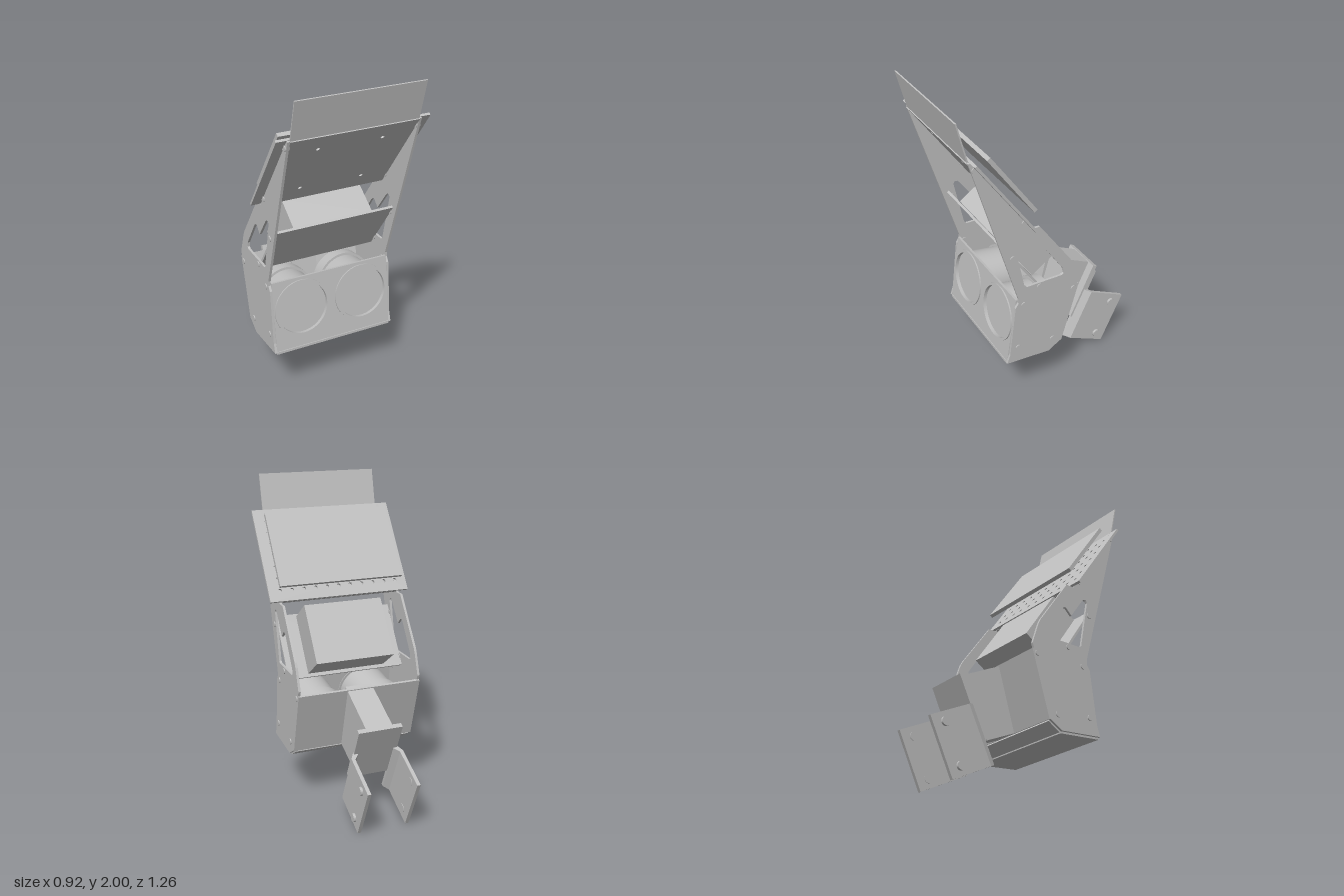
import * as THREE from 'three';
import { toCreasedNormals } from 'three/addons/utils/BufferGeometryUtils.js';

const metal = new THREE.MeshStandardMaterial({ color: 0xc0c0c0 });
metal.name = 'plain grey metal';

export function createModel() {
  const model = new THREE.Group();
  model.name = 'headUnit';

  const add = (name, geometry, parent = model) => {
    const mesh = new THREE.Mesh(geometry, metal);
    mesh.name = name;
    parent.add(mesh);
    return mesh;
  };
  const shapeOf = (pts) => new THREE.Shape(pts.map(([a, b]) => new THREE.Vector2(a, b)));
  const hole = (x, y, r) => {
    const path = new THREE.Path();
    path.absarc(x, y, r, 0, Math.PI * 2, true);
    return path;
  };
  const extrude = (shape, depth, curveSegments = 10) =>
    new THREE.ExtrudeGeometry(shape, { depth, bevelEnabled: false, curveSegments });

  // Side profile given as [z, y] points, extruded between x0 and x1
  const sideExtrude = (shape, x0, x1) =>
    extrude(shape, x1 - x0).rotateY(-Math.PI / 2).translate(x1, 0, 0);

  // Sloping sheet from a to b ([z, y] points); holes are [x, distance from a, radius]
  const sheet = (name, width, a, b, from, to, holes = [], segments = 10) => {
    const dz = b[0] - a[0], dy = b[1] - a[1], len = Math.hypot(dz, dy), w = width / 2;
    const shape = shapeOf([[-w, 0], [w, 0], [w, len], [-w, len]]);
    holes.forEach(([x, s, r]) => shape.holes.push(hole(x, s, r)));
    const mesh = add(name, extrude(shape, to - from, segments).translate(0, 0, from));
    mesh.position.set(0, a[1], a[0]);
    mesh.rotation.x = Math.atan2(dz, dy);
    return mesh;
  };

  // Side plates with a notched window
  const outline = shapeOf([
    [0.575, 1.77], [0.55, 1.78], [0.205, 1.26], [0.15, 1.26], [-0.06, 0.965], [-0.075, 0.935],
    [-0.122, 0.8], [-0.11, 0.765], [0, 0.37], [0.08, 0.32], [0.37, 0.34], [0.35, 0.4],
    [0.31, 0.74], [0.29, 0.77], [0.29, 0.8]]);
  outline.holes.push(new THREE.Path([
    [0.312, 1.185], [0.305, 1.2], [0.285, 1.2], [0.27, 1.185], [0.18, 1.06], [0.14, 1.1],
    [0.125, 1.1], [0.105, 1.085], [-0.012, 0.91], [-0.015, 0.88], [0, 0.87], [0.235, 0.87],
    [0.25, 0.88]].map(([z, y]) => new THREE.Vector2(z, y))));
  add('leftSidePlate', sideExtrude(outline, 0.385, 0.4));
  add('rightSidePlate', sideExtrude(outline, -0.4, -0.385));

  // Bolt heads on both sides
  const bolts = (name, points, r, x0, x1) => points.forEach(([z, y]) => [-1, 1].forEach((side) => {
    const geo = toCreasedNormals(new THREE.CylinderGeometry(r, r, x1 - x0, 20), 0.6);
    const bolt = add(name, geo.rotateZ(Math.PI / 2));
    bolt.position.set(side * (x0 + x1) / 2, y, z);
  }));
  bolts('sideBolt', [[0.54, 1.725], [0.25, 1.315], [0.325, 1.1], [0.15, 0.845], [0.255, 0.75],
    [-0.085, 0.745], [0.295, 0.44], [0.055, 0.41]], 0.018, 0.38, 0.406);

  // Upper panels: perforated wide panel, inner panel, raised plate and visor
  const perforations = [];
  for (let row = 0; row < 7; row++)
    for (let col = -5; col <= 5; col++) perforations.push([col * 0.077, 0.07 + row * 0.0768, 0.012]);
  sheet('perforatedPanel', 0.92, [0.197, 1.278], [0.555, 1.785], 0, 0.015, perforations, 5);
  const screws = [];
  [-0.195, 0.195].forEach((x) => [0.12, 0.505].forEach((s) => screws.push([x, s, 0.011])));
  sheet('innerPanel', 0.77, [0.197, 1.278], [0.555, 1.785], 0.016, 0.03, screws);
  sheet('raisedPlate', 0.81, [0.169, 1.38], [0.451, 1.778], 0, 0.024);
  sheet('visor', 0.77, [0.572, 1.76], [0.63, 2], -0.008, 0);

  // Middle panel with a case behind it
  sheet('middlePanel', 0.77, [0.108, 0.8], [0.345, 1.146], 0, 0.015);
  sheet('rearCase', 0.51, [0.115, 0.82], [0.333, 1.133], -0.2, 0);

  // Lower housing
  sheet('frontPlate', 0.77, [0.365, 0.345], [0.3, 0.785], -0.015, 0,
    [[-0.2, 0.248, 0.178], [0.2, 0.248, 0.178]], 32);
  sheet('floorPlate', 0.77, [0.08, 0.322], [0.368, 0.342], -0.015, 0).scale.z = -1;
  model.children.at(-1).position.y += 0.001;
  sheet('floorBend', 0.77, [0.002, 0.372], [0.08, 0.322], 0, 0.012);
  sheet('backPlate', 0.8, [0.002, 0.372], [-0.112, 0.77], -0.012, 0.004);

  // Twin round lamps
  const profile = [[0, -0.3], [0.18, -0.3], [0.18, -0.22], [0.165, -0.22], [0.165, -0.02],
    [0.18, -0.02], [0.18, 0.008], [0.163, 0.008], [0.163, -0.014], [0, -0.014]];
  [-0.2, 0.2].forEach((x) => {
    const geo = new THREE.LatheGeometry(profile.map(([r, h]) => new THREE.Vector2(r, h)), 48);
    const lamp = add('roundLamp', toCreasedNormals(geo.rotateX(Math.PI / 2), 0.6));
    lamp.position.set(x, 0.59, 0.329);
    lamp.rotation.x = Math.atan2(-0.065, 0.44);
  });

  // Neck and end flange
  add('neck', sideExtrude(shapeOf([[-0.085, 0.778], [-0.415, 0.622], [-0.25, 0.268], [0.005, 0.376]]),
    -0.085, 0.085));
  sheet('neckFlange', 0.28, [-0.435, 0.617], [-0.27, 0.262], -0.03, 0);

  // Joggled mounting brackets
  const bracket = new THREE.Group();
  bracket.name = 'mountingBracket';
  bracket.position.set(0, 0.46, -0.345);
  bracket.rotation.x = Math.atan2(0.425, -0.905);
  model.add(bracket);
  const section = [[0.116, 0], [0.14, 0], [0.167, 0.045], [0.167, 0.32], [0.145, 0.32],
    [0.145, 0.055], [0.116, 0.02]];
  [-1, 1].forEach((side) => {
    const geo = extrude(shapeOf(section.map(([x, u]) => [x * side, u])), 0.36);
    add(side > 0 ? 'leftBracket' : 'rightBracket',
      geo.rotateX(Math.PI / 2).translate(0, 0.36, 0), bracket);
  });
  bolts('bracketBolt', [[-0.54, 0.305], [-0.435, 0.08]], 0.026, 0.142, 0.182);

  return model;
}
